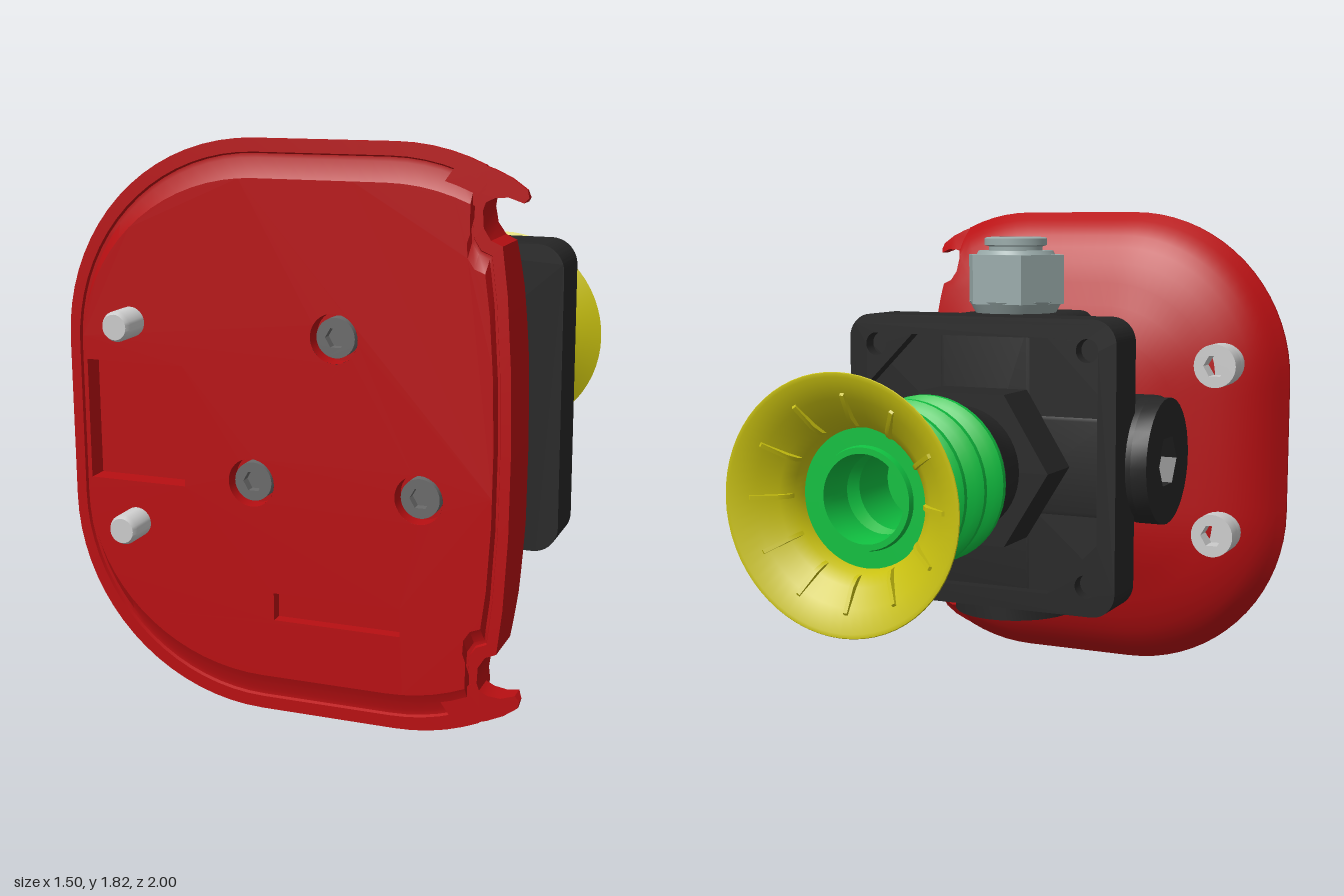
import * as THREE from 'three';
import { toCreasedNormals } from 'three/addons/utils/BufferGeometryUtils.js';
import { RoundedBoxGeometry } from 'three/addons/geometries/RoundedBoxGeometry.js';

const mat = (color) => new THREE.MeshStandardMaterial({ color, side: THREE.DoubleSide });
const RED = mat(0xb80f12), BLACK = mat(0x262626), GREEN = mat(0x10bf40), YELLOW = mat(0xc8c010);
const STEEL = mat(0xcccccc), DARK = mat(0x6a6a6a), FITTING = mat(0x9aabaa);
const CX = 0.16, CY = 0.915; // main axis of the valve body and cup

function add(parent, name, geo, material, x = 0, y = 0, z = 0) {
  const m = new THREE.Mesh(toCreasedNormals(geo, 0.6), material);
  m.name = name;
  m.position.set(x, y, z);
  parent.add(m);
  return m;
}

const lathe = (pts, seg = 48) => new THREE.LatheGeometry(pts.map(([r, y]) => new THREE.Vector2(r, y)), seg);
const extrude = (shape, depth) =>
  new THREE.ExtrudeGeometry(shape, { depth, bevelEnabled: false, curveSegments: 16 });
const polygon = (pts, Type = THREE.Shape) => new Type(pts.map(([x, y]) => new THREE.Vector2(x, y)));
const circle = (r, x = 0, y = 0, Type = THREE.Path) => new Type().absarc(x, y, r, 0, Math.PI * 2);
const hexagon = (r, Type = THREE.Path) => polygon([0, 1, 2, 3, 4, 5].map((i) =>
  [r * Math.cos(i * Math.PI / 3), r * Math.sin(i * Math.PI / 3)]), Type);
const rect = (x0, y0, x1, y1, Type = THREE.Path) => polygon([[x0, y0], [x1, y0], [x1, y1], [x0, y1]], Type);

function roundedSquare(h, r) {
  const s = new THREE.Shape();
  [[1, 1], [-1, 1], [-1, -1], [1, -1]].forEach(([sx, sy], i) =>
    s.absarc(sx * (h - r), sy * (h - r), r, i * Math.PI / 2, (i + 1) * Math.PI / 2));
  return s;
}

// Round head with a hex socket, from z = 0 to z = h
function socketHead(name, r, h, hexR, material) {
  const g = new THREE.Group();
  g.name = name;
  const top = circle(r, 0, 0, THREE.Shape);
  top.holes.push(hexagon(hexR));
  add(g, 'socketRim', extrude(top, h * 0.6), material, 0, 0, h * 0.4);
  add(g, 'headBase', extrude(circle(r, 0, 0, THREE.Shape), h * 0.4), material);
  return g;
}

// Back height of the domed plate, from the inset inside a rounded rectangle
const INSET = [0, 0.05, 0.1, 0.2, 0.35, 0.5, 0.65];
const HEIGHT = [0.87, 0.8, 0.755, 0.705, 0.66, 0.615, 0.595];
function domeZ(x, y) {
  const r = 0.65, qx = Math.abs(x - 0.125) - (0.875 - r), qy = Math.abs(y - 0.91) - (0.91 - r);
  const out = Math.hypot(Math.max(qx, 0), Math.max(qy, 0)) + Math.min(Math.max(qx, qy), 0);
  const e = Math.min(Math.max(r - out, 0), 0.6499);
  const i = INSET.findIndex((v) => v > e) - 1;
  return THREE.MathUtils.lerp(HEIGHT[i], HEIGHT[i + 1], (e - INSET[i]) / (INSET[i + 1] - INSET[i]));
}

// Plate outline, counter-clockwise, relative to y = 0.91
function plateOutline() {
  const half = [[0.71, 0], [0.706, 0.25], [0.692, 0.48], [0.675, 0.62], [0.64, 0.635],
    [0.618, 0.67], [0.615, 0.72], [0.625, 0.75]];
  for (let a = 65; a <= 90; a += 5) half.push([0.35 + 0.65 * Math.cos(a * Math.PI / 180), 0.26 + 0.65 * Math.sin(a * Math.PI / 180)]);
  for (let a = 90; a <= 180; a += 5) half.push([-0.1 + 0.65 * Math.cos(a * Math.PI / 180), 0.26 + 0.65 * Math.sin(a * Math.PI / 180)]);
  const all = [...half, ...half.slice(1).reverse().map(([x, y]) => [x, -y])];
  const pts = [];
  all.forEach(([x, y], i) => {
    const [u, v] = all[(i + 1) % all.length];
    const n = Math.ceil(Math.hypot(u - x, v - y) / 0.06);
    for (let k = 0; k < n; k++) pts.push([x + (u - x) * k / n, y + (v - y) * k / n]);
  });
  return pts;
}

function buildPlate(root) {
  const g = new THREE.Group();
  g.name = 'mountingPlate';
  root.add(g);
  const outline = plateOutline(), n = outline.length;
  // Rings: front plateau, groove, rim, then the domed back (z from domeZ)
  const rings = [[0.93, 0.87, 0.895], [0.94, 0.935, 0.872], [0.95, 0.95, 0.872], [0.955, 0.955, 0.882], [1, 1, 0.882],
    ...[1, 0.985, 0.965, 0.94, 0.9, 0.85, 0.78, 0.7, 0.6, 0.48, 0.3, 0].map((s) => [s, s])];
  const pos = [], idx = [];
  rings.forEach(([sx, sy, z], i) => outline.forEach(([px, py], j) => {
    const x = px * sx, y = 0.91 + py * sy, k = (j + 1) % n;
    pos.push(x, y, z ?? domeZ(x, y));
    if (i + 1 < rings.length) {
      const a = i * n + j, d = i * n + k;
      idx.push(a, a + n, d + n, a, d + n, d);
    }
  }));
  const shell = new THREE.BufferGeometry();
  shell.setAttribute('position', new THREE.Float32BufferAttribute(pos, 3));
  shell.setIndex(idx);
  add(g, 'plateShell', shell, RED);

  // Flat front with its pockets and bolt holes
  const face = polygon(outline.map(([x, y]) => [x * 0.93, 0.91 + y * 0.87]));
  const pockets = [[-0.685, 0.72, -0.35, 1.11, 0.07], [-0.05, 0.31, 0.37, 0.4, 0.04]];
  const bolts = [[0.16, 1.23], [-0.12, 0.755], [0.43, 0.755]];
  for (const [x0, y0, x1, y1, d] of pockets) {
    face.holes.push(rect(x0, y0, x1, y1));
    const wall = rect(x0 - 0.005, y0 - 0.005, x1 + 0.005, y1 + 0.005, THREE.Shape);
    wall.holes.push(rect(x0, y0, x1, y1));
    add(g, 'pocketWall', extrude(wall, d - 0.001), RED, 0, 0, 0.895 - d);
    add(g, 'pocketFloor', new THREE.PlaneGeometry(x1 - x0, y1 - y0), RED, (x0 + x1) / 2, (y0 + y1) / 2, 0.895 - d);
  }
  for (const [x, y] of bolts) {
    face.holes.push(circle(0.077, x, y));
    const bore = new THREE.CylinderGeometry(0.077, 0.077, 0.06, 32, 1, true).rotateX(Math.PI / 2);
    add(g, 'boltBore', bore, RED, x, y, 0.865);
    add(g, 'boreFloor', new THREE.CircleGeometry(0.077, 32), RED, x, y, 0.836);
    const bolt = socketHead('plateBolt', 0.062, 0.05, 0.034, DARK);
    bolt.position.set(x, y, 0.83);
    g.add(bolt);
  }
  add(g, 'plateFace', new THREE.ShapeGeometry(face, 24), RED, 0, 0, 0.895);

  // Hooked horns at the right-hand corners
  for (const s of [1, -1]) {
    const horn = polygon([[0.5, 0.8], [0.6, 0.725], [0.625, 0.745], [0.65, 0.757], [0.69, 0.76],
      [0.735, 0.745], [0.75, 0.76], [0.745, 0.783], [0.7, 0.815], [0.65, 0.838], [0.55, 0.87]].map(([x, y]) => [x, 0.91 + s * y]));
    const geo = extrude(horn, 0.882), p = geo.attributes.position;
    for (let i = 0; i < p.count; i++)
      if (p.getZ(i) < 0.1) p.setZ(i, Math.max(0.8, domeZ(p.getX(i), p.getY(i))));
    add(g, 'cornerHorn', geo, RED);
  }

  // Clamp screws through the plate
  for (const y of [1.24, 0.585]) {
    const head = socketHead('clampScrewHead', 0.083, 0.12, 0.045, STEEL);
    head.rotation.y = Math.PI;
    head.position.set(-0.525, y, 0.74);
    g.add(head);
    const shank = lathe([[0, 0], [0.048, 0], [0.048, 0.255], [0.04, 0.27], [0, 0.27]], 32).rotateX(Math.PI / 2);
    add(g, 'clampScrewShank', shank, STEEL, -0.525, y, 0.73);
  }
}

function buildBody(root) {
  const g = new THREE.Group();
  g.name = 'valveBody';
  g.position.set(CX, CY, 0);
  root.add(g);
  // Square flange with a recessed back and corner holes
  add(g, 'flange', extrude(roundedSquare(0.53, 0.09), 0.14), BLACK, 0, 0, 0.037);
  const rim = roundedSquare(0.53, 0.09);
  rim.holes.push(polygon([[0.46, 0.27], [0.27, 0.46], [-0.27, 0.46], [-0.46, 0.27],
    [-0.46, -0.27], [-0.27, -0.46], [0.27, -0.46], [0.46, -0.27]], THREE.Path));
  for (const x of [-0.42, 0.42]) for (const y of [-0.42, 0.42]) rim.holes.push(circle(0.042, x, y));
  add(g, 'flangeRim', extrude(rim, 0.052), BLACK, 0, 0, -0.015);
  // Round core with port bosses
  add(g, 'core', new THREE.CylinderGeometry(0.375, 0.375, 0.44, 48).rotateX(Math.PI / 2), BLACK, 0, 0, 0.38);
  add(g, 'verticalBoss', new RoundedBoxGeometry(0.43, 1.06, 0.56, 3, 0.05), BLACK, 0, 0, 0.315);
  add(g, 'sideBoss', new RoundedBoxGeometry(0.53, 0.43, 0.56, 3, 0.05), BLACK, -0.265, 0, 0.315);
  // Socket plugs on the side and bottom ports
  const side = socketHead('sidePlug', 0.233, 0.1, 0.1, BLACK);
  side.position.set(-0.51, 0, 0.31);
  side.rotation.y = -Math.PI / 2;
  const bottom = socketHead('bottomPlug', 0.233, 0.1, 0.1, BLACK);
  bottom.position.set(0, -0.505, 0.31);
  bottom.rotation.x = Math.PI / 2;
  g.add(side, bottom);
  // Top hose fitting
  const nut = new THREE.CylinderGeometry(0.195, 0.195, 0.18, 6).rotateY(Math.PI / 2);
  add(g, 'fittingNut', nut, FITTING, 0, 0.655, 0.31);
  add(g, 'fittingSeat', new THREE.CylinderGeometry(0.175, 0.15, 0.045, 32), FITTING, 0, 0.55, 0.31);
  add(g, 'fittingCollar', lathe([[0.15, 0], [0.14, 0.02], [0.1, 0.02], [0.1, 0.035], [0.117, 0.04], [0.117, 0.065],
    [0.108, 0.07], [0.082, 0.07], [0.075, 0.005], [0.048, 0.005]], 40), FITTING, 0, 0.74, 0.31);
  add(g, 'fittingBore', new THREE.CircleGeometry(0.05, 24).rotateX(-Math.PI / 2), BLACK, 0, 0.7465, 0.31);
}

function buildCup(root) {
  // Built along +y, then turned so that y becomes -z
  const g = new THREE.Group();
  g.name = 'suctionCup';
  g.position.set(CX, CY, 0);
  g.rotation.x = -Math.PI / 2;
  root.add(g);
  const nut = new THREE.CylinderGeometry(0.335, 0.335, 0.2, 6).rotateY(Math.PI / 2).scale(1, 1, 0.93);
  add(g, 'hexNut', nut, BLACK, 0, 0.06, 0);
  add(g, 'neck', lathe([[0.225, 0.15], [0.23, 0.2], [0.245, 0.28], [0.265, 0.352], [0, 0.352]]), BLACK);
  // Bellows: three rounded ridges outside, hollow inside
  const bellows = [[0, 0.352], [0.255, 0.352]];
  for (let i = 0; i < 3; i++) {
    const y = 0.412 + i * 0.145;
    bellows.push([0.268, y - 0.03], [0.288, y - 0.01], [0.288, y + 0.01], [0.268, y + 0.03], [0.215, y + 0.06], [0.212, y + 0.085]);
  }
  bellows.push([0.25, 0.81], [0.23, 0.83], [0.17, 0.83], [0.165, 0.85], [0.145, 0.85],
    [0.135, 0.8], [0.135, 0.72], [0.17, 0.69], [0.135, 0.64], [0.135, 0.45], [0, 0.45]);
  add(g, 'bellows', lathe(bellows), GREEN);
  // Flared lip with radial ribs inside
  add(g, 'cupLip', lathe([[0.21, 0.81], [0.258, 0.81], [0.272, 0.83], [0.278, 0.9], [0.3, 0.92], [0.34, 0.95], [0.415, 0.997], [0.413, 1],
    [0.4, 1], [0.33, 0.955], [0.27, 0.91], [0.235, 0.875], [0.225, 0.825]], 64), YELLOW);
  for (let i = 0; i < 12; i++) {
    const rib = extrude(polygon([[0.235, 0.87], [0.35, 0.965], [0.34, 0.972], [0.265, 0.93], [0.24, 0.9]]), 0.014)
      .translate(0, 0, -0.007).rotateY(i * Math.PI / 6);
    add(g, 'cupRib', rib, YELLOW);
  }
}

export function createModel() {
  const root = new THREE.Group();
  root.name = 'vacuumGripper';
  buildPlate(root);
  buildBody(root);
  buildCup(root);
  return root;
}
